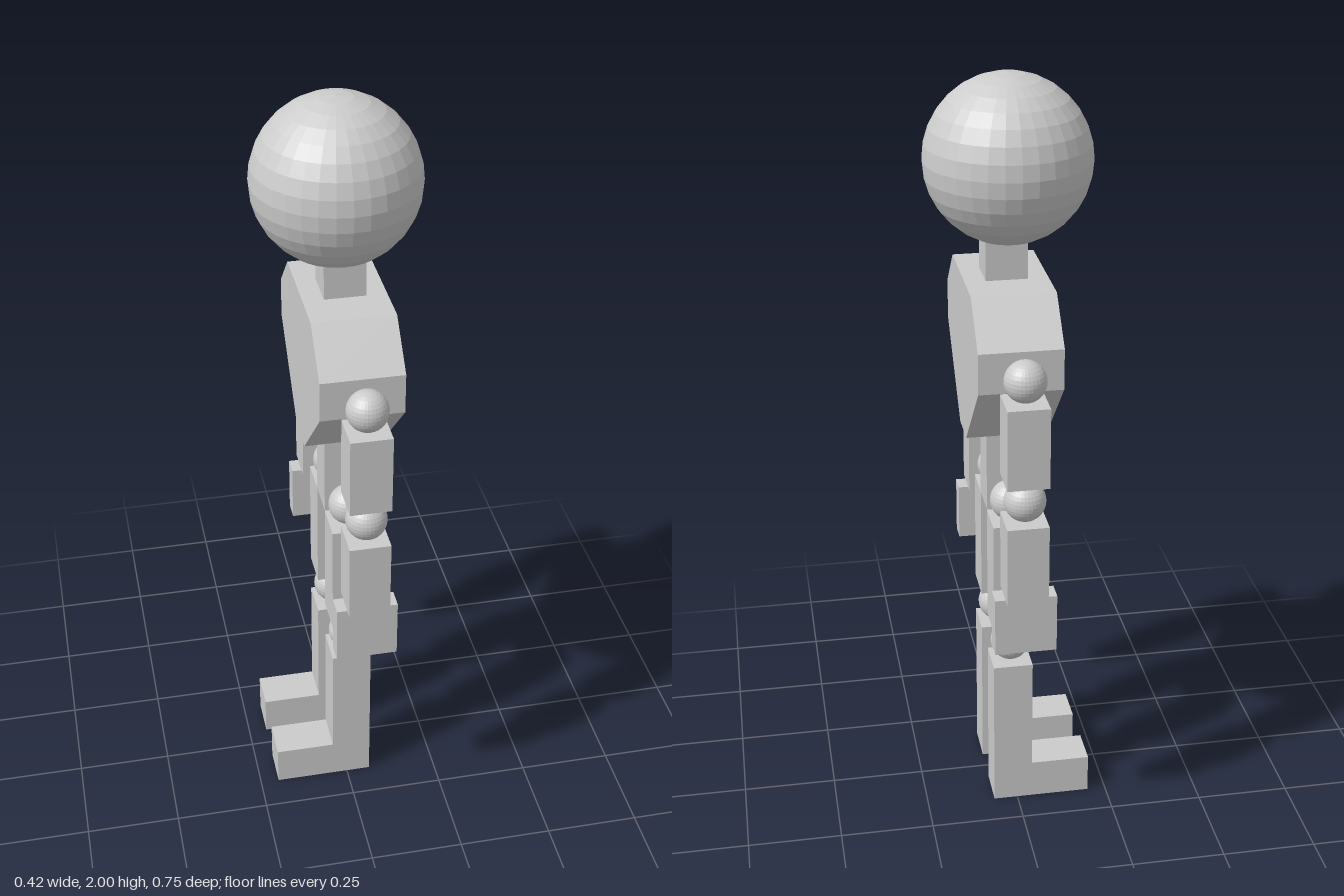
import * as THREE from 'three';

const AXIS_X = 0.012; // body and limbs share this centre line
const material = new THREE.MeshStandardMaterial({ color: 0xcccccc, flatShading: true });

function add(parent, name, geometry, x, y, z) {
  const mesh = new THREE.Mesh(geometry, material);
  mesh.name = name;
  mesh.position.set(x, y, z);
  parent.add(mesh);
  return mesh;
}

// Box standing between two heights on the centre line
function block(parent, name, width, depth, y0, y1, z) {
  return add(parent, name, new THREE.BoxGeometry(width, y1 - y0, depth), AXIS_X, (y0 + y1) / 2, z);
}

function ball(parent, name, radius, x, y, z) {
  return add(parent, name, new THREE.SphereGeometry(radius, 32, 16), x, y, z);
}

// Flat outline extruded symmetrically about its own plane
function slab(points, depth) {
  const shape = new THREE.Shape(points.map(([a, b]) => new THREE.Vector2(a, b)));
  return new THREE.ExtrudeGeometry(shape, { depth, bevelEnabled: false }).translate(0, 0, -depth / 2);
}

export function createModel() {
  const model = new THREE.Group();
  model.name = 'figure';

  // Head, neck and waist
  ball(model, 'head', 0.211, 0, 1.789, 0);
  block(model, 'neck', 0.106, 0.106, 1.495, 1.6, 0);
  block(model, 'waist', 0.106, 0.106, 0.857, 1.07, 0);

  // Eight-sided chest, its outline across z
  const half = [[0.053, 1.07], [0.265, 1.282], [0.265, 1.388], [0.159, 1.495]];
  const outline = [...half, ...half.map(([z, y]) => [-z, y]).reverse()];
  add(model, 'chest', slab(outline, 0.212).rotateY(Math.PI / 2), AXIS_X, 0, 0);

  for (const side of [-1, 1]) {
    // Arm
    const arm = new THREE.Group();
    arm.name = side > 0 ? 'frontArm' : 'backArm';
    model.add(arm);
    const az = side * 0.32;
    ball(arm, 'shoulder', 0.053, AXIS_X, 1.335, az);
    block(arm, 'upperArm', 0.106, 0.106, 1.07, 1.282, az);
    ball(arm, 'elbow', 0.053, AXIS_X, 1.016, az);
    block(arm, 'forearm', 0.106, 0.106, 0.751, 0.963, az);
    block(arm, 'hand', 0.159, 0.053, 0.593, 0.751, az);

    // Leg, with shin and foot as one L-shaped piece
    const leg = new THREE.Group();
    leg.name = side > 0 ? 'frontLeg' : 'backLeg';
    model.add(leg);
    const lz = side * 0.106;
    ball(leg, 'hip', 0.053, AXIS_X, 0.91, lz);
    block(leg, 'thigh', 0.106, 0.106, 0.54, 0.857, lz);
    ball(leg, 'knee', 0.053, AXIS_X, 0.484, lz);
    const shin = [[-0.2, 0], [0.065, 0], [0.065, 0.43], [-0.041, 0.43], [-0.041, 0.109], [-0.2, 0.109]];
    add(leg, 'shinAndFoot', slab(shin, 0.106), 0, 0, lz);
  }
  return model;
}
